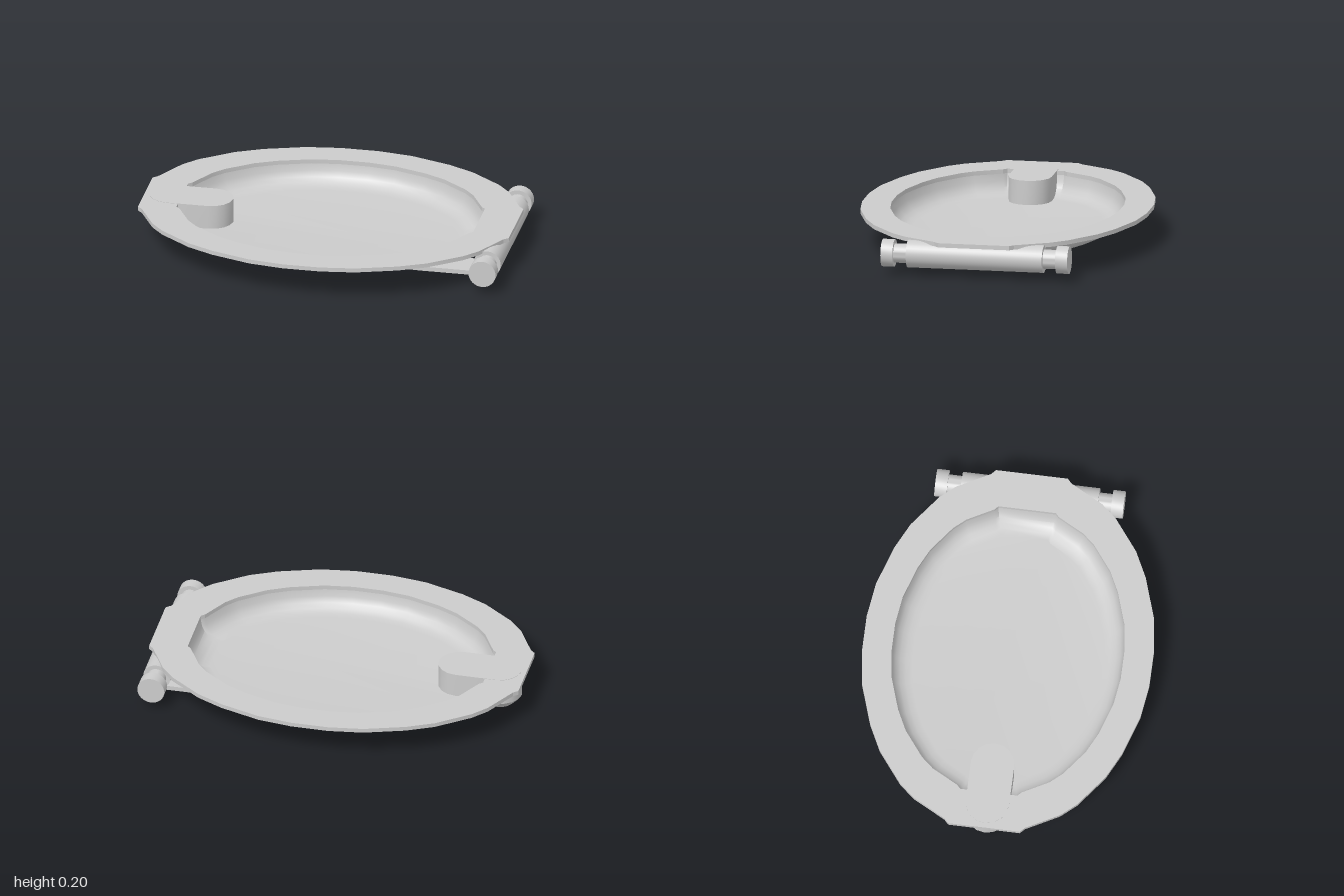
import * as THREE from 'three';
import { toCreasedNormals } from 'three/addons/utils/BufferGeometryUtils.js';

const material = new THREE.MeshStandardMaterial({ color: 0xcccccc, side: THREE.DoubleSide });

function addMesh(parent, name, geometry, crease = 0.6) {
  const mesh = new THREE.Mesh(toCreasedNormals(geometry, crease), material);
  mesh.name = name;
  parent.add(mesh);
  return mesh;
}

// Skins a stack of equal-length loops, listed from bottom to top
function loft(rings, closeTop) {
  const n = rings[0].length;
  const positions = rings.flat().flatMap((p) => p.toArray());
  const index = [];
  for (let r = 0; r < rings.length - 1; r++) {
    for (let i = 0; i < n; i++) {
      const a = r * n + i, b = r * n + (i + 1) % n;
      index.push(a, a + n, b, b, a + n, b + n);
    }
  }
  const last = (rings.length - 1) * n;
  for (let i = 1; i < n - 1; i++) {
    index.push(0, i, i + 1);
    if (closeTop) index.push(last, last + i + 1, last + i);
  }
  const geometry = new THREE.BufferGeometry();
  geometry.setAttribute('position', new THREE.Float32BufferAttribute(positions, 3));
  geometry.setIndex(index);
  return geometry;
}

// Faceted oval: one quarter mirrored into a full loop
function ovalOutline(rx, rz) {
  const quarter = [[1, 0.25], [0.975, 0.28], [0.88, 0.51], [0.81, 0.615], [0.64, 0.785],
    [0.5, 0.875], [0.285, 0.967], [0.1, 1]];
  const half = [...quarter, ...quarter.map(([x, z]) => [-x, z]).reverse()];
  return [...half, ...half.map(([x, z]) => [x, -z]).reverse()]
    .map(([x, z]) => new THREE.Vector2(x * rx, z * rz));
}

// Rounded-end slot outline running along x
function slotOutline(x0, x1, radius, segments = 8) {
  const points = [];
  for (const [cx, start] of [[x1, -Math.PI / 2], [x0, Math.PI / 2]]) {
    for (let i = 0; i <= segments; i++) {
      const a = start + Math.PI * i / segments;
      points.push(new THREE.Vector2(cx + radius * Math.cos(a), radius * Math.sin(a)));
    }
  }
  return points;
}

const raise = (outline, y) => outline.map((p) => new THREE.Vector3(p.x, y, p.y));

// Flat plate lying between two heights
function plate(shape, y0, y1) {
  return new THREE.ExtrudeGeometry(shape, { depth: y1 - y0, bevelEnabled: false, curveSegments: 16 })
    .rotateX(-Math.PI / 2).translate(0, y0, 0);
}

export function createModel() {
  const group = new THREE.Group();

  // Flat oval rim
  const rim = new THREE.Shape(ovalOutline(1, 0.765));
  rim.holes.push(new THREE.Path(ovalOutline(0.8, 0.61)));
  addMesh(group, 'rim', plate(rim, 0.172, 0.195), 0.3);

  // Shallow dish: rounded wall and flat floor, [inset, height]
  const profile = [[0.11, 0.066], [0.075, 0.07], [0.045, 0.083], [0.022, 0.104], [0.007, 0.135], [0, 0.172]];
  addMesh(group, 'dish', loft(profile.map(([d, y]) => raise(ovalOutline(0.8 - d, 0.61 - d), y)), false), 0.7);

  // Foot: rounded block with a chamfered underside
  const foot = [[0.07, 0], [0.115, 0.048], [0.115, 0.197]];
  addMesh(group, 'foot', loft(foot.map(([r, y]) => raise(slotOutline(-0.86, -0.64, r), y)), true));

  // U-shaped arm below the dish
  const arm = new THREE.Shape();
  arm.moveTo(0.92, 0.36);
  arm.lineTo(0.555, 0.36);
  arm.absarc(0.555, 0, 0.36, Math.PI / 2, Math.PI * 1.5, false);
  arm.lineTo(0.92, -0.36);
  arm.lineTo(0.92, -0.2);
  arm.lineTo(0.555, -0.2);
  arm.absarc(0.555, 0, 0.2, Math.PI * 1.5, Math.PI / 2, true);
  arm.lineTo(0.92, 0.2);
  addMesh(group, 'arm', plate(arm, 0.041, 0.065));

  // Hinge barrel, pin and end caps along z
  const hinge = new THREE.Group();
  hinge.name = 'hinge';
  hinge.position.set(0.92, 0.114, 0);
  group.add(hinge);
  const rod = (name, radius, length, z) => addMesh(hinge, name,
    new THREE.CylinderGeometry(radius, radius, length, 32).rotateX(Math.PI / 2)).position.z = z;
  rod('hingeBarrel', 0.073, 0.73, 0);
  rod('hingePin', 0.051, 0.94, 0);
  for (const side of [-1, 1]) rod('hingeCap', 0.073, 0.065, side * 0.469);

  return group;
}
